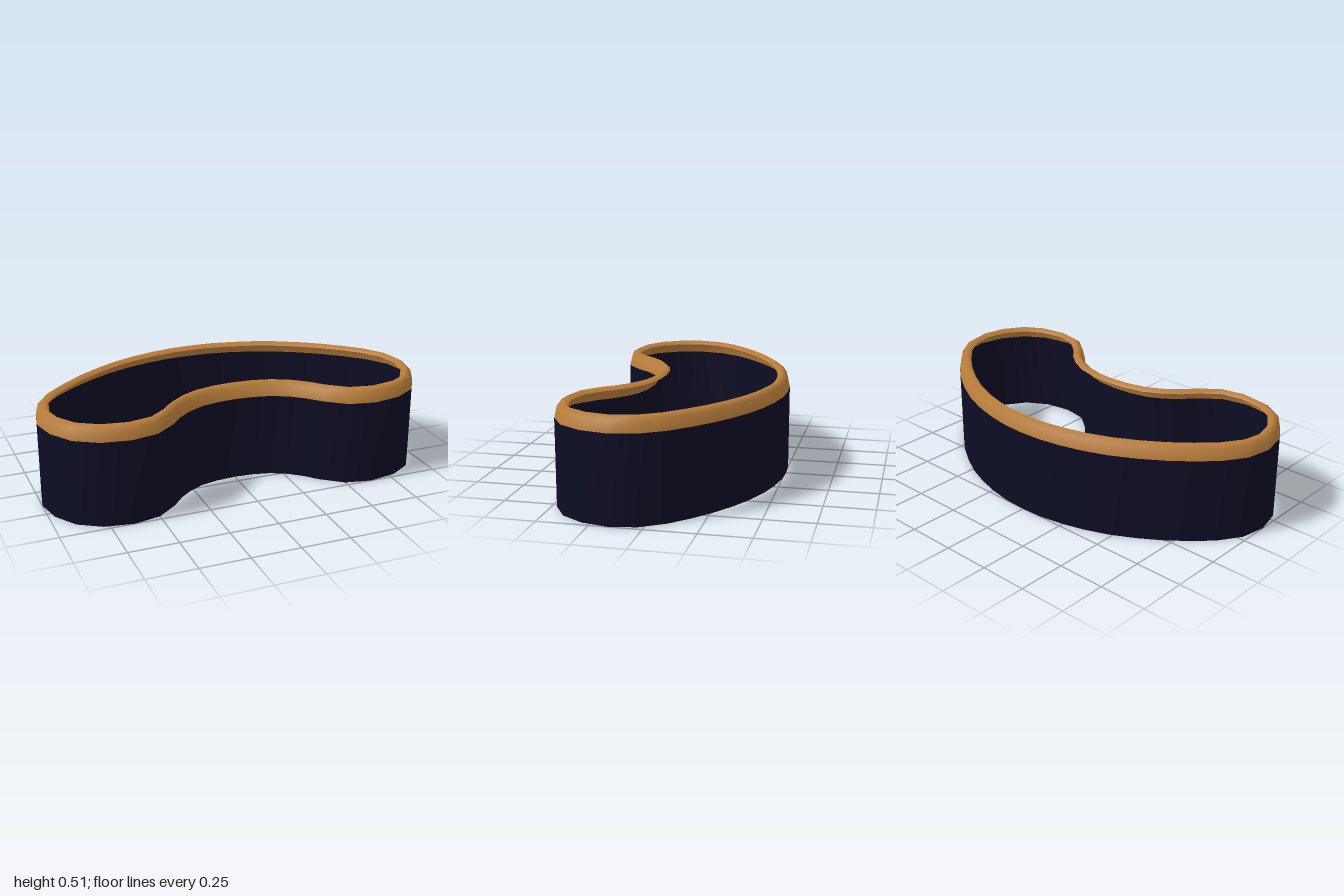
import * as THREE from 'three';

// Kidney outline [x, z], from the middle of the back round the +x lobe to the middle of the notch
const HALF = [
  [0, -0.505], [0.12, -0.499], [0.24, -0.478], [0.36, -0.445], [0.48, -0.398], [0.6, -0.333],
  [0.71, -0.26], [0.81, -0.178], [0.9, -0.09], [0.975, 0.025], [1, 0.155], [0.97, 0.29],
  [0.895, 0.405], [0.78, 0.475], [0.635, 0.5], [0.5, 0.472], [0.395, 0.39], [0.335, 0.323],
  [0.27, 0.27], [0.19, 0.228], [0.1, 0.207], [0, 0.2],
];
const OUTLINE = [...HALF, ...HALF.slice(1, -1).reverse().map(([x, z]) => [-x, z])];

// Sweep a profile of [inset, y] points round the closed outline
function sweep(profile) {
  const n = OUTLINE.length, rows = profile.length, position = [], index = [];
  OUTLINE.forEach(([x, z], i) => {
    const prev = OUTLINE[(i + n - 1) % n], next = OUTLINE[(i + 1) % n];
    const a = new THREE.Vector2(x - prev[0], z - prev[1]).normalize();
    const b = new THREE.Vector2(next[0] - x, next[1] - z).normalize();
    const t = a.add(b).normalize();
    for (const [inset, y] of profile) position.push(x - t.y * inset, y, z + t.x * inset);
    for (let j = 0; j < rows - 1; j++) {
      const p = i * rows + j, q = ((i + 1) % n) * rows + j;
      index.push(p, p + 1, q, q, p + 1, q + 1);
    }
  });
  const geometry = new THREE.BufferGeometry();
  geometry.setAttribute('position', new THREE.Float32BufferAttribute(position, 3));
  geometry.setIndex(index);
  geometry.computeVertexNormals();
  return geometry;
}

export function createModel() {
  const group = new THREE.Group();
  group.name = 'kidneyShapedSurround';
  const navy = new THREE.MeshStandardMaterial({ color: 0x0d0d24, side: THREE.DoubleSide });
  navy.name = 'dark navy';
  const wood = new THREE.MeshStandardMaterial({ color: 0xb87d3a, side: THREE.DoubleSide });
  wood.name = 'golden brown';

  // Thin upright wall, open above and below
  const wall = new THREE.Mesh(sweep([[0, 0], [0, 0.432]]), navy);
  wall.name = 'wall';

  // Rounded lip that curls inward over the wall
  const rim = new THREE.Mesh(
    sweep([[0, 0.432], [0.013, 0.488], [0.043, 0.507], [0.065, 0.488]]), wood);
  rim.name = 'rim';

  group.add(wall, rim);
  return group;
}
